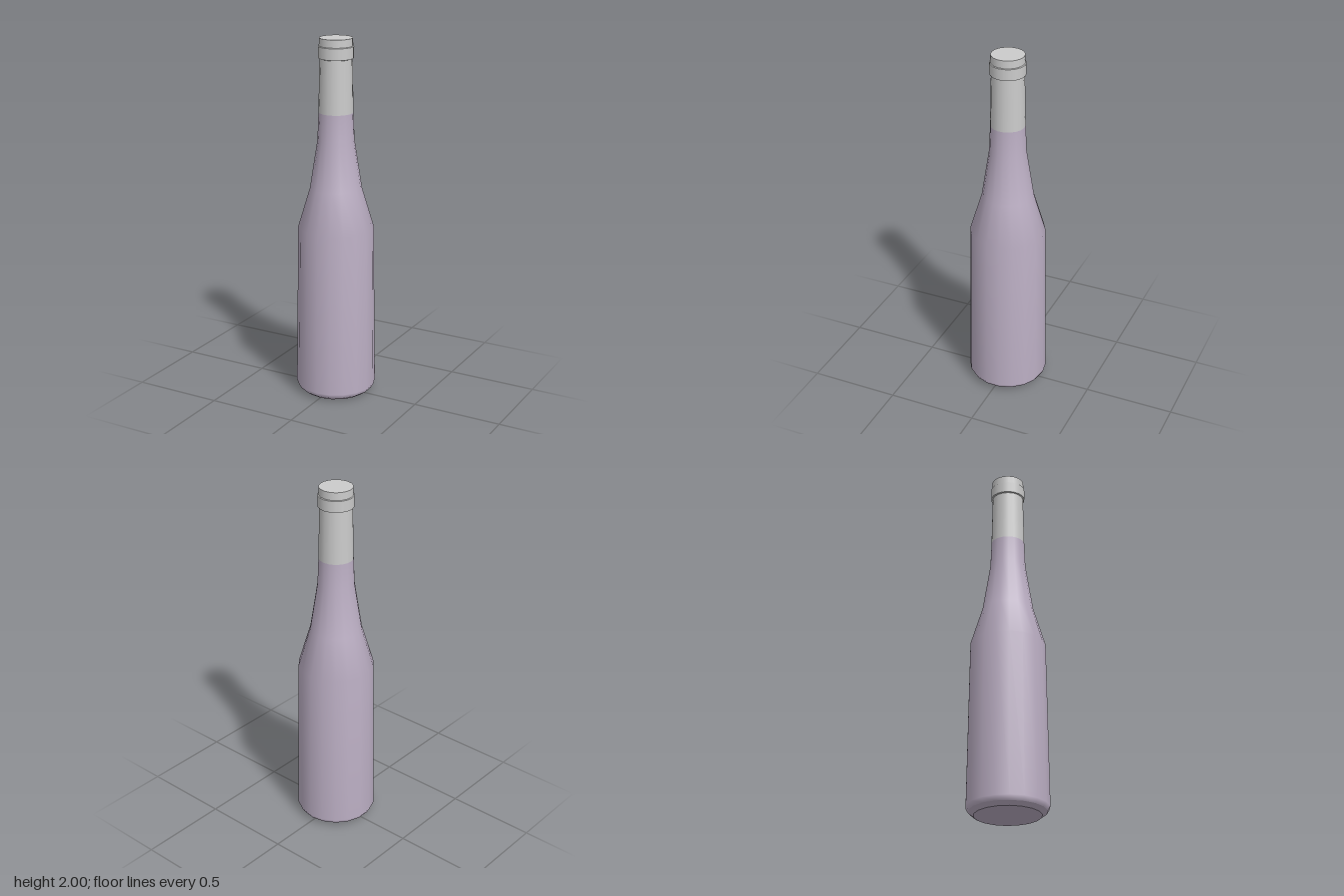
import * as THREE from 'three';

const SIDES = 18;

// Turn a bottom-to-top profile of [radius, height] points
function turned(name, profile, material) {
  const points = profile.map(([r, y]) => new THREE.Vector2(r, y));
  const mesh = new THREE.Mesh(new THREE.LatheGeometry(points, SIDES), material);
  mesh.name = name;
  return mesh;
}

export function createModel() {
  const glass = new THREE.MeshStandardMaterial({ color: 0xbcafc4 });
  const foil = new THREE.MeshStandardMaterial({ color: 0xcccccc });

  const bottle = new THREE.Group();
  bottle.name = 'bottle';

  bottle.add(
    // Glass: flat underside, chamfered foot, then smooth body, shoulder and neck
    turned('base', [[0, 0], [0.18, 0]], glass),
    turned('foot', [[0.18, 0], [0.207, 0.02]], glass),
    turned('body', [
      [0.207, 0.02], [0.222, 0.045], [0.208, 0.96],
      [0.142, 1.18], [0.1, 1.45], [0.094, 1.6],
    ], glass),

    // Foil sleeve over the upper neck
    turned('neckFoil', [[0.094, 1.6], [0.088, 1.89]], foil),

    // Raised lip ring
    turned('ringUnderside', [[0.088, 1.89], [0.096, 1.893]], foil),
    turned('ring', [[0.096, 1.893], [0.096, 1.955]], foil),
    turned('ringTop', [[0.096, 1.955], [0.091, 1.958]], foil),

    // Flat-topped cap
    turned('capSide', [[0.091, 1.958], [0.09, 2]], foil),
    turned('capTop', [[0.09, 2], [0, 2]], foil),
  );

  return bottle;
}
